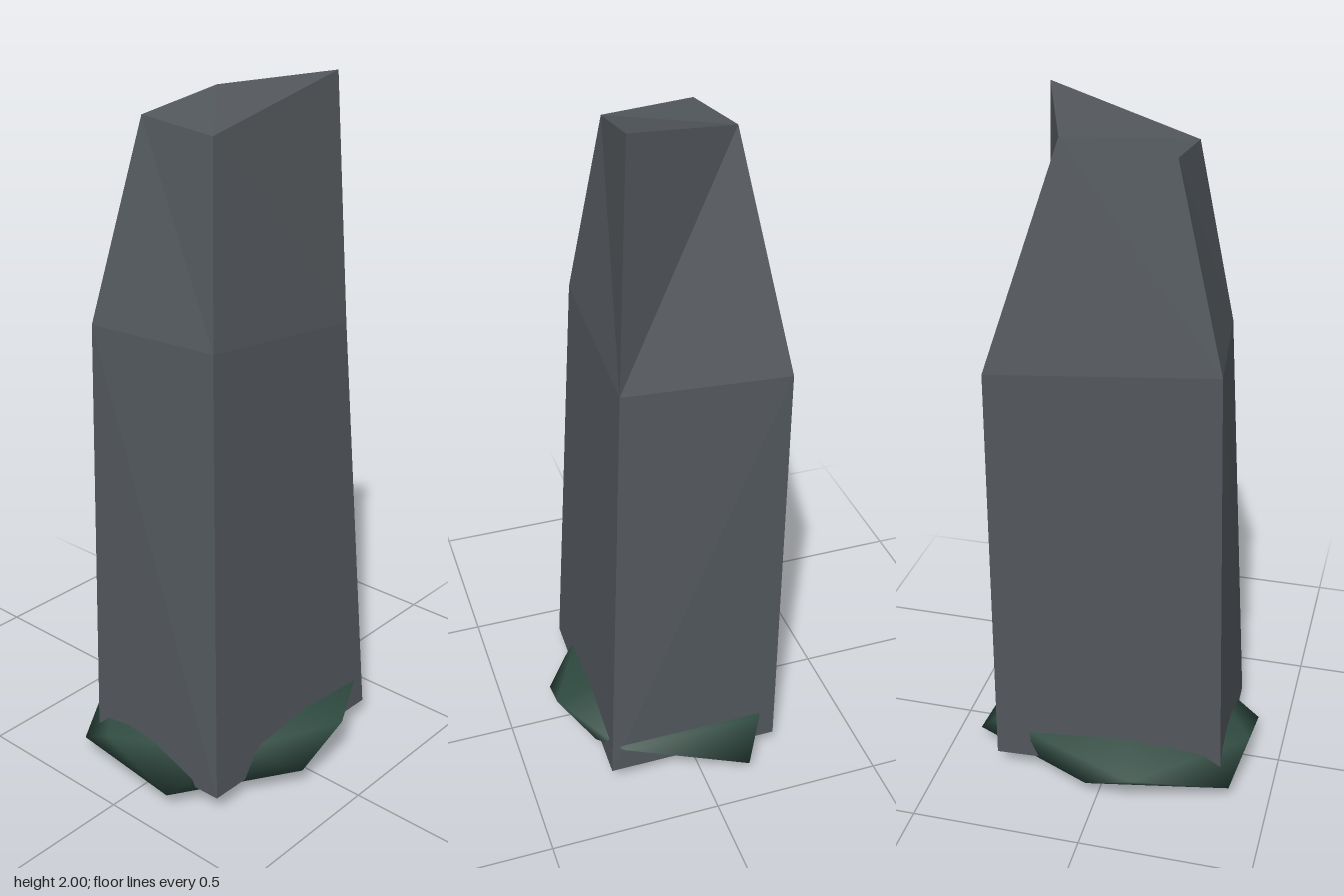
import * as THREE from 'three';

const meshFrom = (name, points, index, material, flat) => {
  let geometry = new THREE.BufferGeometry();
  geometry.setAttribute('position', new THREE.Float32BufferAttribute(points.flat(), 3));
  geometry.setIndex(index);
  if (flat) geometry = geometry.toNonIndexed();
  geometry.computeVertexNormals();
  const mesh = new THREE.Mesh(geometry, material);
  mesh.name = name;
  return mesh;
};

// Leaning stone: three four-cornered sections, front left first, going round by the right
function standingStone(material) {
  const points = [
    [-0.34, 0.06, 0.255], [0.325, 0.06, 0.27], [0.325, 0.06, -0.24], [-0.355, 0.06, -0.205],
    [-0.275, 1.36, 0.19], [0.26, 1.31, 0.205], [0.315, 1.32, -0.248], [-0.32, 1.36, -0.205],
    [-0.185, 1.885, 0.11], [0.235, 2.0, 0.17], [0.12, 1.94, -0.15], [-0.18, 1.905, -0.14],
  ];
  const index = [0, 2, 1, 0, 3, 2, 8, 9, 10, 8, 10, 11];
  for (let ring = 0; ring < 8; ring += 4) {
    for (let i = 0; i < 4; i++) {
      const a = ring + i, b = ring + (i + 1) % 4, c = b + 4, d = a + 4;
      if (i === 1) index.push(a, b, c, a, c, d);
      else index.push(a, b, d, b, c, d);
    }
  }
  return meshFrom('standingStone', points, index, material, true);
}

// Lumpy moss cushion: zigzag upper and lower rims between two centre points
function mossBase(material) {
  const upper = [
    [0.34, 0.15, 0.235], [0.085, 0.15, 0.37], [-0.2, 0.14, 0.23],
    [-0.42, 0.145, -0.1], [-0.12, 0.145, -0.375], [0.335, 0.15, -0.19],
  ];
  const lower = [
    [0.185, 0.06, 0.28], [-0.08, 0.06, 0.355], [-0.415, 0.05, 0.13],
    [-0.385, 0.06, -0.235], [0.03, 0.055, -0.31], [0.415, 0.05, -0.13],
  ];
  const n = upper.length, top = 2 * n, bottom = top + 1;
  const index = [];
  for (let i = 0; i < n; i++) {
    const j = (i + 1) % n;
    index.push(top, j, i, i, j, n + i, n + i, j, n + j, n + i, n + j, bottom);
  }
  const points = [...upper, ...lower, [0, 0.2, 0], [-0.01, 0, 0]];
  return meshFrom('mossBase', points, index, material, false);
}

export function createModel() {
  const stone = new THREE.MeshStandardMaterial({ color: 0x52575c });
  stone.name = 'slate grey';
  stone.flatShading = true;
  const moss = new THREE.MeshStandardMaterial({ color: 0x2f4a40 });
  moss.name = 'dark moss green';

  const model = new THREE.Group();
  model.name = 'standingStoneOnMoss';
  model.add(standingStone(stone), mossBase(moss));
  return model;
}
